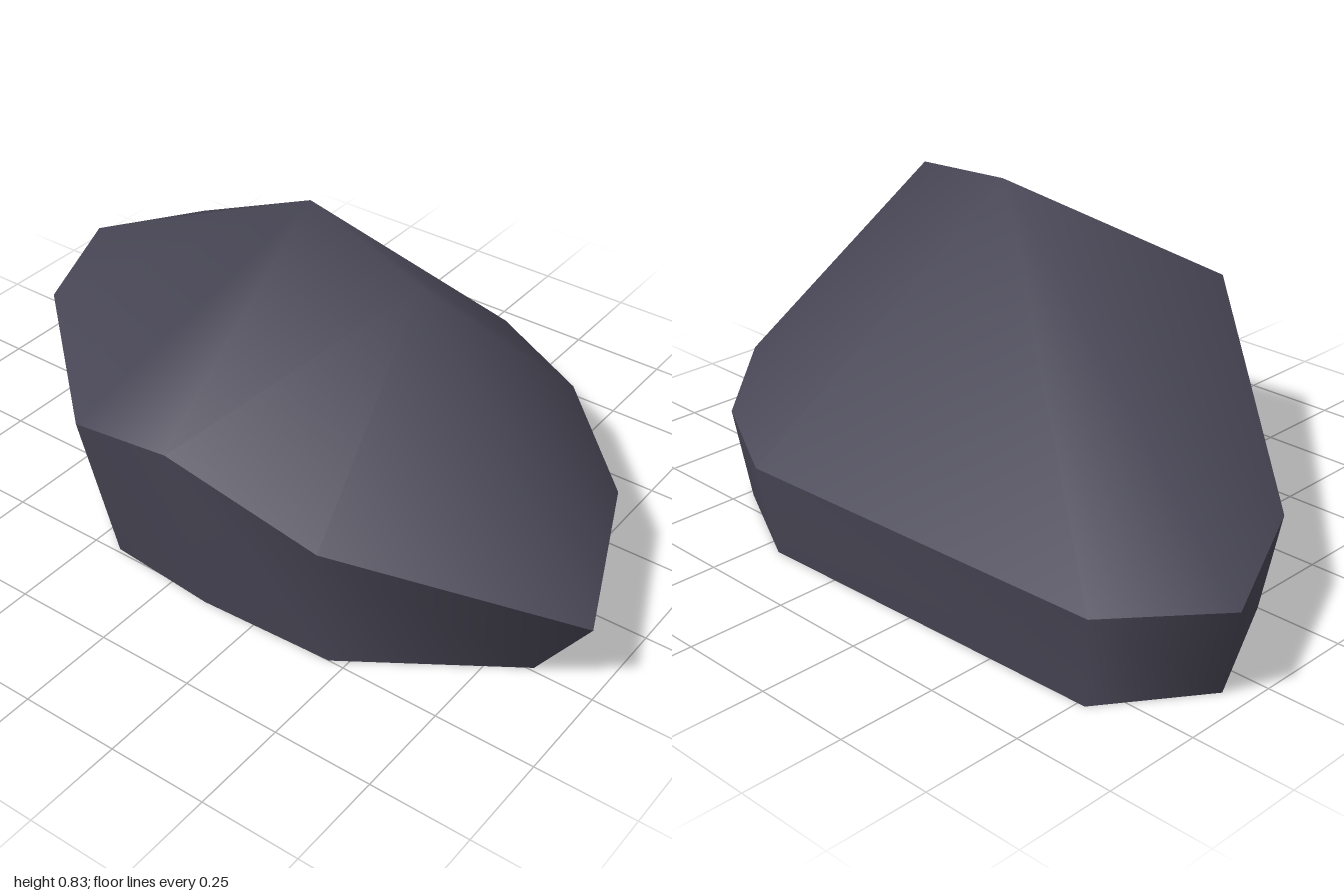
import * as THREE from 'three';

// Shoulder ring, counter-clockwise seen from above, starting at the front.
const rim = [
  [-0.15, 0.475, 0.635], [0.09, 0.48, 0.61], [0.48, 0.37, 0.575], [1, 0.23, 0.285],
  [0.81, 0.23, -0.17], [0.51, 0.235, -0.48], [0.21, 0.235, -0.64], [-0.81, 0.24, -0.61],
  [-1, 0.23, -0.36], [-0.83, 0.25, 0.01],
];
// Ground ring below each shoulder point.
const foot = [
  [-0.18, 0, 0.49], [0.11, 0, 0.515], [0.46, 0, 0.5], [0.845, 0, 0.24],
  [0.77, 0, -0.16], [0.48, 0, -0.45], [0.2, 0, -0.595], [-0.77, 0, -0.57],
  [-0.94, 0, -0.33], [-0.78, 0, 0.0],
];
const peaks = [[0.04, 0.835, 0.01], [0.41, 0.78, 0.1]];

function surface(name, points, index, material) {
  const g = new THREE.BufferGeometry();
  g.setAttribute('position', new THREE.Float32BufferAttribute(points.flat(), 3));
  g.setIndex(index);
  g.computeVertexNormals();
  const mesh = new THREE.Mesh(g, material);
  mesh.name = name;
  return mesh;
}

export function createModel() {
  const group = new THREE.Group();
  group.name = 'rock';
  const stone = new THREE.MeshStandardMaterial({ color: 0x4a4857, side: THREE.DoubleSide });
  stone.name = 'dark slate stone';
  const n = rim.length;

  // Sloping top: each rim edge joins the nearer of the two peaks
  const topIndex = [];
  const main = n, side = n + 1;
  for (let i = 0; i < n; i++) topIndex.push(i >= 1 && i < 5 ? side : main, i, (i + 1) % n);
  topIndex.push(main, 1, side, main, side, 5);
  group.add(surface('rockTop', [...rim, ...peaks], topIndex, stone));

  // Tapering side wall, open underneath
  const wallIndex = [];
  for (let i = 0; i < n; i++) {
    const j = (i + 1) % n;
    wallIndex.push(i, n + i, n + j, i, n + j, j);
  }
  group.add(surface('rockWall', [...rim, ...foot], wallIndex, stone));
  return group;
}
